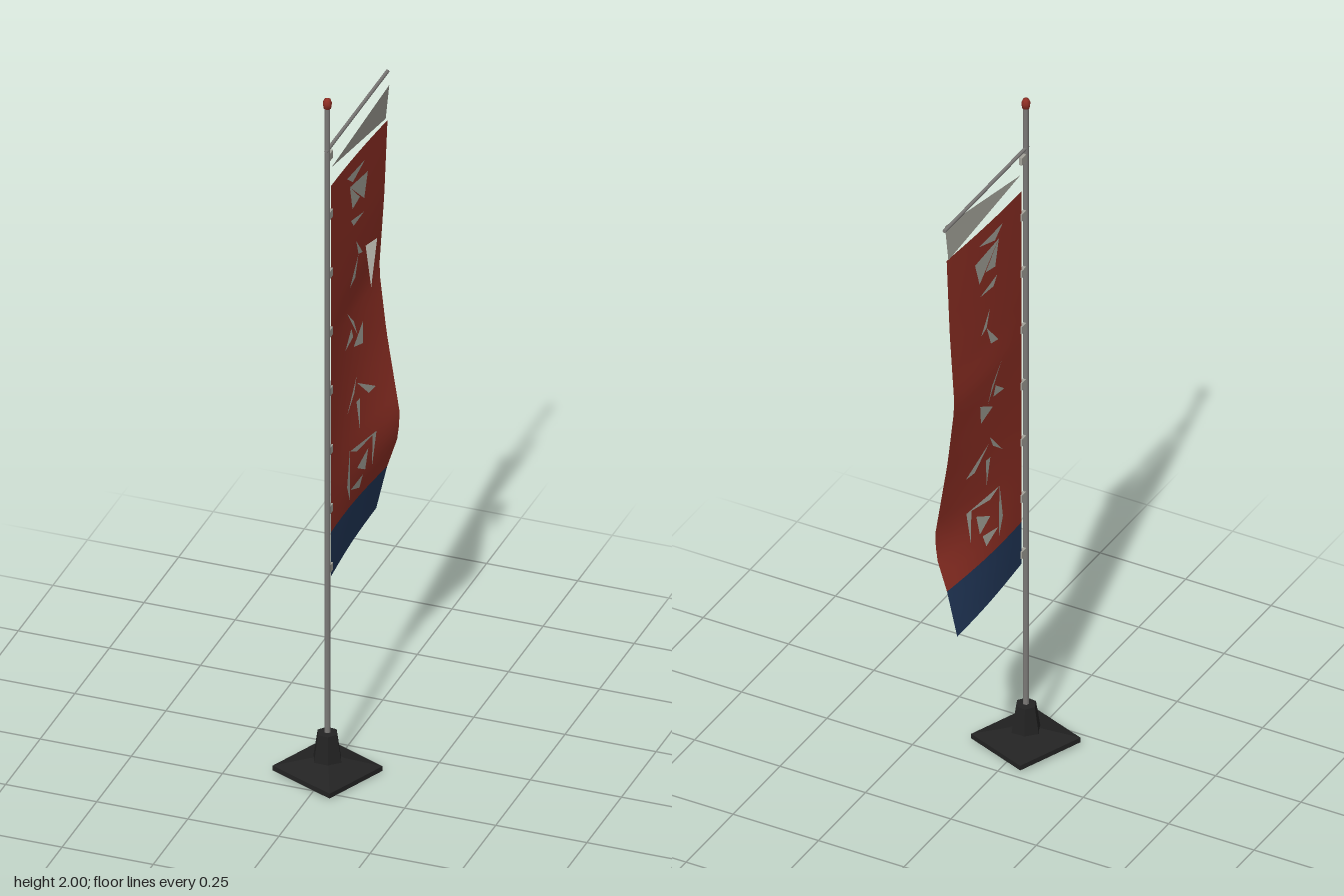
import * as THREE from 'three';

const mat = (name, color, extra = {}) => new THREE.MeshStandardMaterial({ name, color, ...extra });
const both = { side: THREE.DoubleSide };

export function createModel() {
  const red = mat('red cloth', 0x8f2f24, both);
  const blue = mat('navy cloth', 0x22385a, both);
  const grey = mat('pale grey', 0xa3a299, both);
  const metal = mat('pole metal', 0x7c7a78);
  const black = mat('black base', 0x232323);

  const group = new THREE.Group();
  group.name = 'bannerStand';
  const POLE_Z = 0.15, INNER_Z = 0.125, OUTER_Z = -0.245;

  const add = (name, geometry, material, x = 0, y = 0, z = 0) => {
    const mesh = new THREE.Mesh(geometry, material);
    mesh.name = name;
    mesh.position.set(x, y, z);
    group.add(mesh);
    return mesh;
  };
  const flat = (geometry) => {
    const g = geometry.index ? geometry.toNonIndexed() : geometry;
    g.computeVertexNormals();
    return g;
  };
  const lathe = (points, sides, start = 0) =>
    new THREE.LatheGeometry(points.map((p) => new THREE.Vector2(...p)), sides, start);

  // Weighted foot: shallow turned pyramid with a tapered collar
  add('footPlate', flat(lathe([[0, 0], [0.141, 0.006], [0.141, 0.02], [0.042, 0.044], [0, 0.044]], 4, 1.97)),
    black, 0, 0.003, POLE_Z).rotation.z = -0.03;
  add('footCollar', flat(lathe([[0.042, 0.035], [0.028, 0.123], [0, 0.125]], 6, 0.4)), black, 0, 0, POLE_Z);

  // Pole, finial and crossbar
  add('pole', new THREE.CylinderGeometry(0.0075, 0.0085, 1.87, 8), metal, 0, 1.035, POLE_Z);
  add('finial', lathe([[0, 1.964], [0.01, 1.97], [0.0125, 1.985], [0.008, 1.996], [0, 2]], 8), red, 0, 0, POLE_Z);
  const bar = add('crossbar', new THREE.CylinderGeometry(0.005, 0.005, 0.445, 8), metal, 0, 1.845, -0.0625);
  bar.rotation.x = Math.PI / 2;

  // Sideways billow of the cloth: free-edge offset by height, fading to the pole
  const edge = [[0.57, -0.016], [0.7, 0.014], [0.8, 0.046], [0.87, 0.048], [1.1, 0.012],
    [1.28, -0.008], [1.5, 0.006], [1.725, 0.015], [1.85, 0.02]];
  const billow = (y, z) => {
    let i = 0;
    while (i < edge.length - 2 && y > edge[i + 1][0]) i++;
    const [y0, x0] = edge[i], [y1, x1] = edge[i + 1];
    const t = THREE.MathUtils.clamp((y - y0) / (y1 - y0), 0, 1);
    const u = THREE.MathUtils.clamp((INNER_Z - z) / (INNER_Z - OUTER_Z), 0, 1);
    return THREE.MathUtils.lerp(x0, x1, t) * Math.pow(u, 1.3) - 0.006 * Math.sin(u * Math.PI) * (y < 1.3 ? 1 : 0.4);
  };

  // Cloth panels, hanging in the plane of the crossbar
  const cloth = (name, bottom, top, rows, material) => {
    const g = new THREE.PlaneGeometry(INNER_Z - OUTER_Z, top - bottom, 8, rows);
    g.rotateY(Math.PI / 2);
    g.translate(0, (top + bottom) / 2, (INNER_Z + OUTER_Z) / 2);
    const p = g.attributes.position;
    for (let i = 0; i < p.count; i++) p.setX(i, billow(p.getY(i), p.getZ(i)));
    g.computeVertexNormals();
    add(name, g, material);
  };
  cloth('redBanner', 0.7, 1.725, 24, red);
  cloth('navyHem', 0.57, 0.7, 4, blue);

  const triangles = (points) => {
    const g = new THREE.BufferGeometry();
    g.setAttribute('position', new THREE.Float32BufferAttribute(points.flat(), 3));
    g.computeVertexNormals();
    return g;
  };
  // Pointed streamer under the crossbar
  add('topStreamer', triangles([
    [0, 1.778, 0.12], [0.01, 1.728, OUTER_Z], [0.02, 1.83, OUTER_Z],
  ]), grey);

  // Torn pale patches: abstract shards as z, y corners, laid on both faces
  const shards = [
    [0.02, 1.69, -0.10, 1.685, -0.02, 1.66], [0.0, 1.655, -0.12, 1.64, -0.10, 1.57],
    [0.0, 1.655, -0.02, 1.58, -0.07, 1.59], [-0.01, 1.55, -0.10, 1.53, -0.03, 1.525],
    [-0.05, 1.47, -0.07, 1.42, -0.10, 1.41], [-0.01, 1.35, -0.07, 1.42, -0.05, 1.36],
    [0.0, 1.28, -0.05, 1.23, -0.07, 1.18], [0.02, 1.18, -0.03, 1.22, -0.04, 1.19],
    [-0.04, 1.16, -0.11, 1.2, -0.10, 1.14], [-0.05, 1.07, 0.02, 0.99, -0.03, 1.03],
    [-0.05, 1.05, -0.15, 0.99, -0.11, 0.99], [-0.04, 1.0, -0.06, 1.0, -0.05, 0.91],
    [0.01, 0.89, 0.0, 0.73, 0.025, 0.78], [0.01, 0.88, -0.13, 0.87, -0.03, 0.86],
    [-0.11, 0.87, -0.13, 0.87, -0.12, 0.77], [-0.03, 0.81, -0.09, 0.84, -0.08, 0.78],
    [0.0, 0.76, -0.07, 0.77, -0.06, 0.735],
  ];
  for (const side of [1, -1]) {
    const pts = shards.flatMap((s) => [0, 2, 4].map((k) =>
      [billow(s[k + 1], s[k]) + side * 0.004, s[k + 1], s[k]]));
    add(side > 0 ? 'leftPatches' : 'rightPatches', triangles(pts), grey);
  }
  // One loose flap standing off the cloth
  add('looseFlap', triangles([[0.01, 1.43, -0.1], [0.05, 1.35, -0.035], [0.042, 1.46, -0.1]]), grey);

  // Clips tying the cloth to the pole
  for (let i = 0; i < 8; i++) {
    add('clip', new THREE.BoxGeometry(0.009, 0.022, 0.028), grey, 0, 1.82 - i * 0.1743, 0.134);
  }
  return group;
}
